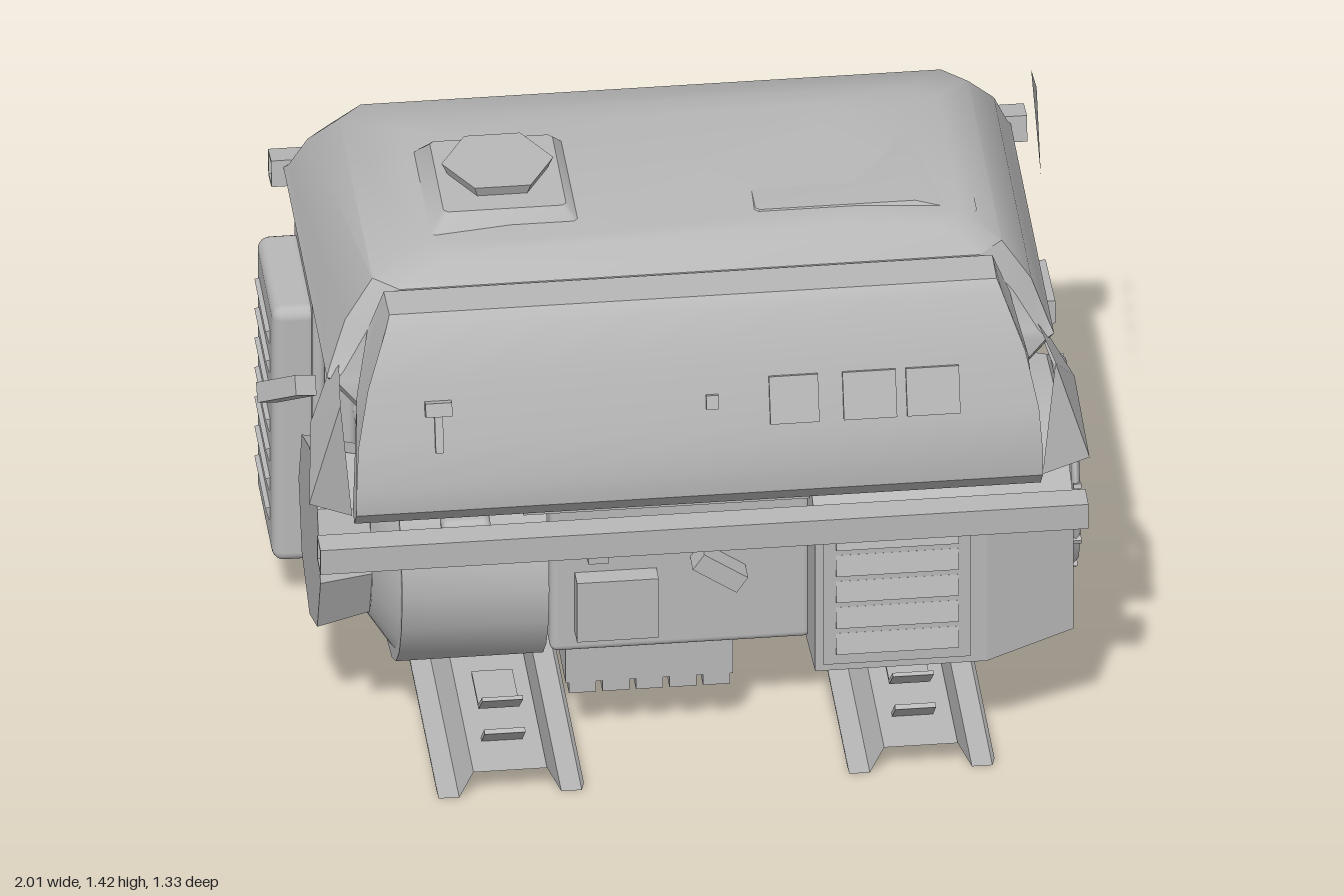
import * as THREE from 'three';
import { toCreasedNormals } from 'three/addons/utils/BufferGeometryUtils.js';
import { RoundedBoxGeometry } from 'three/addons/geometries/RoundedBoxGeometry.js';

export function createModel() {
  const model = new THREE.Group();
  const metal = new THREE.MeshStandardMaterial({ color: 0xb8b8b8, side: THREE.DoubleSide });
  metal.name = 'grey metal';

  const add = (name, geo, pos = [0, 0, 0], rot = [0, 0, 0], parent = model) => {
    const mesh = new THREE.Mesh(geo, metal);
    mesh.name = name;
    mesh.position.set(...pos);
    mesh.rotation.set(...rot);
    parent.add(mesh);
    return mesh;
  };
  // Box given by its limits on each axis
  const block = (name, [x0, x1], [y0, y1], [z0, z1], radius = 0) => add(name,
    radius ? new RoundedBoxGeometry(x1 - x0, y1 - y0, z1 - z0, 3, radius)
      : new THREE.BoxGeometry(x1 - x0, y1 - y0, z1 - z0),
    [(x0 + x1) / 2, (y0 + y1) / 2, (z0 + z1) / 2]);
  const outline = pts => pts.map(([z, y]) => new THREE.Vector2(-z, y));
  // Prism along x from a side profile of [z, y] points
  const prism = (pts, x0, x1, hole) => {
    const shape = new THREE.Shape(outline(pts));
    if (hole) shape.holes.push(new THREE.Path(outline(hole)));
    return new THREE.ExtrudeGeometry(shape, { depth: x1 - x0, bevelEnabled: false })
      .rotateY(Math.PI / 2).translate(x0, 0, 0);
  };
  const reshape = (geo, rule) => {
    const p = geo.attributes.position;
    for (let i = 0; i < p.count; i++) p.setXYZ(i, ...rule(p.getX(i), p.getY(i), p.getZ(i)));
    return toCreasedNormals(geo, 0.6);
  };
  // Stacked rings, counter-clockwise from above, closed at both ends
  const loft = rings => {
    const n = rings[0].length, index = [], geo = new THREE.BufferGeometry();
    geo.setAttribute('position', new THREE.Float32BufferAttribute(rings.flat(2), 3));
    for (let r = 0; r < rings.length - 1; r++) for (let j = 0; j < n; j++) {
      const a = r * n + j, b = r * n + (j + 1) % n;
      index.push(a, b, b + n, a, b + n, a + n);
    }
    const top = (rings.length - 1) * n;
    for (let j = 1; j < n - 1; j++) index.push(top, top + j, top + j + 1, 0, j + 1, j);
    geo.setIndex(index);
    return toCreasedNormals(geo, 0.6);
  };
  // Rectangle ring with cut corners; front height may differ from back height
  const ring = (yBack, yFront, x0, x1, z0, z1, c) => [
    [x0 + c, z1], [x1 - c, z1], [x1, z1 - c], [x1, z0 + c],
    [x1 - c, z0], [x0 + c, z0], [x0, z0 + c], [x0, z1 - c],
  ].map(([x, z]) => [x, yBack + (yFront - yBack) * (z - z0) / (z1 - z0), z]);
  const facets = (verts, index) => {
    const geo = new THREE.BufferGeometry();
    geo.setAttribute('position', new THREE.Float32BufferAttribute(verts.flat(), 3));
    geo.setIndex(index);
    return toCreasedNormals(geo, 0.1);
  };
  // Open sheet swept along z from [x, y] points
  const sheet = (points, z0, z1) => facets(
    points.flatMap(([x, y]) => [[x, y, z0], [x, y, z1]]),
    points.slice(1).flatMap((_, i) => [2 * i, 2 * i + 2, 2 * i + 1, 2 * i + 2, 2 * i + 3, 2 * i + 1]));

  // Fuel tank with sloping underside, filler plateau and cap
  add('fuelTank', loft([
    ring(1.07, 0.92, -0.76, 0.8, -0.6, 0.36, 0.02),
    ring(1.07, 1.07, -0.87, 0.91, -0.61, 0.38, 0.02),
    ring(1.09, 1.09, -0.86, 0.9, -0.6, 0.37, 0.03),
    ring(1.2, 1.2, -0.82, 0.86, -0.56, 0.36, 0.05),
    ring(1.29, 1.3, -0.75, 0.79, -0.51, 0.345, 0.06),
    ring(1.345, 1.345, -0.62, 0.7, -0.36, 0.27, 0.06),
    ring(1.36, 1.358, -0.4, 0.45, -0.28, 0.24, 0.06),
  ]));
  add('tankTopPanel', loft([
    ring(1.3, 1.33, 0.17, 0.74, -0.39, 0.2, 0.01), ring(1.345, 1.362, 0.2, 0.6, -0.33, 0.18, 0.01)]));
  add('fillerPlateau', loft([
    ring(1.34, 1.34, -0.6, -0.22, -0.21, 0.19, 0.01), ring(1.39, 1.39, -0.56, -0.26, -0.17, 0.15, 0.01)]));
  add('fillerCap', toCreasedNormals(new THREE.CylinderGeometry(0.137, 0.12, 0.035, 6), 0.1), [-0.41, 1.403, -0.02], [0, Math.PI / 6, 0]);

  // Sloping control panel, narrower at its top
  add('controlPanel', reshape(prism([
    [0.35, 1.3], [0.46, 1.303], [0.485, 1.28], [0.54, 1.14], [0.585, 1.0], [0.61, 0.89], [0.605, 0.82],
    [0.56, 0.77], [0.53, 0.79], [0.45, 1.07], [0.36, 1.2]], -1, 1),
  (x, y, z) => [0.015 + x * (0.84 - 0.1 * Math.max(0, (y - 0.89) / 0.42) ** 2), y, z]));
  const panelTilt = -0.32;
  for (const [x, w] of [[0.25, 0.12], [0.435, 0.13], [0.59, 0.13]])
    add('socketCover', new THREE.BoxGeometry(w, 0.12, 0.02), [x, 1.06, 0.567], [panelTilt, 0, 0]);
  add('keySwitch', new THREE.BoxGeometry(0.065, 0.035, 0.04), [-0.62, 1.09, 0.562], [panelTilt, 0, 0]);
  add('keyStem', new THREE.BoxGeometry(0.02, 0.12, 0.02), [-0.62, 1.04, 0.575], [panelTilt, 0, 0]);
  add('indicator', new THREE.BoxGeometry(0.03, 0.035, 0.02), [0.05, 1.065, 0.567], [panelTilt, 0, 0]);

  // Hollow square frame tubes, the rear one slightly rolled
  const square = (z, y, h, roll = 0) => [0, 1, 2, 3].map(i => {
    const a = Math.PI * (0.25 + i / 2) + roll;
    return [z + h * Math.SQRT2 * Math.cos(a), y + h * Math.SQRT2 * Math.sin(a)];
  });
  add('frontTube', prism(square(0.632, 0.732, 0.035), -0.92, 0.96, square(0.632, 0.732, 0.028)));
  add('rearTube', prism(square(-0.622, 1.05, 0.035, 0.13), -0.9, 0.95, square(-0.622, 1.05, 0.028, 0.13)));

  // Folded corner gussets beside the panel
  for (const s of [1, -1]) {
    const v = [[0.86, 1.09, 0.25], [0.97, 0.86, 0.6], [0.89, 1.12, 0.57], [0.86, 0.79, 0.555], [0.95, 1.0, 0.45]]
      .map(([x, y, z]) => [s * x + (s < 0 ? 0.03 : 0), y, z]);
    add('cornerGusset', facets(v, [0, 2, 4, 4, 2, 1, 0, 4, 1, 2, 3, 1]));
  }
  add('sideFlap', facets([[0.92, 1.283, -0.02], [0.95, 1.28, -0.5], [0.97, 1.19, -0.56]], [0, 1, 2]));
  add('fuelValve', new THREE.BoxGeometry(0.06, 0.05, 0.17), [-0.94, 0.875, 0.1], [-0.65, 0.5, 0]);

  // Fan housing on the left end, narrowing outwards
  const fanProfile = [[0.585, 0.71], [0.4, 0.79], [0.24, 0.82], [-0.06, 0.79], [-0.19, 0.6],
    [-0.18, 0.5], [-0.07, 0.26], [0.24, 0.235], [0.585, 0.28]];
  add('fanHousing', prism(fanProfile, 0.3, 0.72));
  add('fanHousingEnd', reshape(prism(fanProfile, 0.72, 0.94), (x, y, z) => {
    const k = x > 0.8 ? 0.86 : 1;
    return [x, 0.54 + (y - 0.54) * k, 0.12 + (z - 0.12) * k];
  }));
  const fan = new THREE.Group();
  fan.name = 'fanGrille';
  fan.position.set(0.95, 0.55, 0.125);
  model.add(fan);
  add('grilleDisc', toCreasedNormals(new THREE.CylinderGeometry(0.25, 0.27, 0.03, 10), 0.1), [0, 0, 0], [0, 0, -Math.PI / 2], fan);
  for (const r of [0.255, 0.205])
    add('grilleRing', new THREE.TorusGeometry(r, 0.012, 4, 10), [0.012, 0, 0], [0, Math.PI / 2, 0], fan);
  for (let i = 0; i < 10; i++) {
    const a = i * Math.PI / 5;
    add('grilleSpoke', new THREE.BoxGeometry(0.02, 0.06, 0.012),
      [0.016, 0.23 * Math.cos(a), 0.23 * Math.sin(a)], [a, 0, 0], fan);
  }
  for (let i = -4; i <= 4; i++) {
    const half = Math.sqrt(0.19 ** 2 - (i * 0.04) ** 2);
    add('grilleBar', new THREE.BoxGeometry(0.02, 0.022, 0.11), [0.018, i * 0.04, 0], [0, 0, 0], fan);
    if (half > 0.09) for (const s of [-1, 1]) add('grilleBar', new THREE.BoxGeometry(0.02, 0.022, half - 0.07),
      [0.018, i * 0.04, s * (half + 0.07) / 2], [0, 0, 0], fan);
  }

  // Louvred front cover
  block('louvreFrame', [0.32, 0.68], [0.3, 0.7], [0.55, 0.59]);
  for (let i = 0; i < 5; i++)
    add('louvre', new THREE.BoxGeometry(0.3, 0.055, 0.015), [0.5, 0.36 + i * 0.075, 0.59], [-0.25, 0, 0]);

  // Crankcase, control box and top cover
  block('crankcase', [-0.33, 0.31], [0.27, 0.72], [-0.18, 0.42], 0.02);
  add('engineTopCover', prism([[0.46, 0.7], [0.46, 0.78], [0.38, 0.86], [-0.18, 0.86], [-0.18, 0.7]], -0.4, 0.4));
  block('controlBox', [-0.27, -0.07], [0.33, 0.5], [0.4, 0.47]);
  block('smallSwitch', [-0.24, -0.19], [0.54, 0.6], [0.41, 0.45]);
  add('throttleLever', new THREE.BoxGeometry(0.13, 0.05, 0.06), [0.08, 0.51, 0.45], [0, 0, -0.6]);

  // Alternator on the right end
  const drum = (name, x0, x1, r0, r1, sides) => add(name,
    toCreasedNormals(new THREE.CylinderGeometry(r1, r0, x1 - x0, sides), 0.6).rotateZ(-Math.PI / 2),
    [(x0 + x1) / 2, 0.5, 0.16]);
  drum('alternator', -0.7, -0.34, 0.33, 0.33, 20);
  drum('alternatorNeck', -0.76, -0.7, 0.21, 0.3, 20);
  drum('alternatorEnd', -0.89, -0.76, 0.24, 0.21, 8);
  block('alternatorSwitch', [-0.6, -0.48], [0.62, 0.7], [0.36, 0.48], 0.02);

  // Finned cylinder leaning to the rear
  const cylinder = new THREE.Group();
  cylinder.name = 'engineCylinder';
  cylinder.position.set(-0.06, 0.58, -0.18);
  cylinder.rotation.x = -1.2;
  model.add(cylinder);
  add('barrel', new THREE.CylinderGeometry(0.13, 0.13, 0.3, 16), [0, 0.1, 0], [0, 0, 0], cylinder);
  for (let i = 0; i < 6; i++)
    add('coolingFin', new THREE.BoxGeometry(0.36, 0.016, 0.34), [0, 0.04 + i * 0.036, 0], [0, 0, 0], cylinder);
  add('cylinderHead', new RoundedBoxGeometry(0.36, 0.05, 0.36, 2, 0.02), [0, 0.265, 0], [0, 0, 0], cylinder);
  add('rockerCover', new RoundedBoxGeometry(0.28, 0.16, 0.27, 3, 0.07), [0, 0.31, 0], [0, 0, 0], cylinder);
  for (const x of [-0.15, 0.15]) for (const z of [-0.15, 0.15])
    add('headBolt', new THREE.CylinderGeometry(0.018, 0.018, 0.04, 6), [x, 0.3, z], [0, 0, 0], cylinder);
  add('intakeFunnel', new THREE.CylinderGeometry(0.06, 0.13, 0.32, 12), [-0.58, 0.6, -0.36], [0, 0, -Math.PI / 2 + 0.1]);
  block('carburettor', [-0.48, -0.28], [0.5, 0.72], [-0.44, -0.2], 0.03);
  add('topBracket', new THREE.BoxGeometry(0.2, 0.05, 0.24), [0.2, 0.86, -0.33], [0.5, 0, 0]);

  // Muffler with seam, shield and outlet
  block('muffler', [0.31, 0.87], [0.13, 0.79], [-0.54, -0.2], 0.03);
  block('mufflerSeam', [0.3, 0.88], [0.12, 0.8], [-0.395, -0.38], 0.007);
  block('mufflerShield', [0.34, 0.84], [0.17, 0.76], [-0.565, -0.52], 0.015);
  add('exhaustOutlet', reshape(prism([[-0.42, 0.595], [-0.63, 0.615], [-0.63, 0.645], [-0.42, 0.66]], 0.85, 1),
    (x, y, z) => [x < 0.9 && z < -0.5 ? 0.94 : x, y, z]));

  // Air filter box on the right end, louvred outside
  block('airFilterBase', [-0.82, -0.73], [0.14, 0.9], [-0.61, -0.23], 0.02);
  block('airFilterRim', [-0.84, -0.81], [0.125, 0.92], [-0.635, -0.215], 0.014);
  block('airFilterCover', [-0.935, -0.82], [0.15, 0.88], [-0.6, -0.24], 0.03);
  for (let i = 0; i < 7; i++)
    add('filterSlat', new THREE.BoxGeometry(0.015, 0.035, 0.24), [-0.935, 0.26 + i * 0.085, -0.42], [0, 0, 0.25]);
  for (const y of [0.3, 0.55, 0.8]) block('filterClip', [-0.85, -0.8], [y - 0.02, y + 0.02], [-0.642, -0.6]);

  // Ribbed sump under the crankcase
  block('sump', [-0.29, 0.12], [0.17, 0.28], [-0.13, 0.4]);
  for (let i = 0; i < 5; i++) {
    const x = -0.249 + i * 0.082;
    block('sumpRib', [x - 0.033, x + 0.033], [0.14, 0.17], [-0.13, 0.4]);
  }

  // Hat-section skid rails and their folded feet
  for (const x of [-0.45, 0.555]) {
    add('skidRail', sheet([[-0.18, 0.02], [-0.175, 0], [-0.125, 0], [-0.09, 0.07], [0.09, 0.07], [0.125, 0], [0.175, 0], [0.18, 0.02]]
      .map(([dx, y]) => [x + dx, y]), -0.64, 0.62));
    for (const s of [1, -1]) for (const path of [
      [[0.31, 0.2], [0.23, 0.13], [0.08, 0.13], [0.08, 0.12], [0.235, 0.12], [0.32, 0.195]],
      [[0.36, 0.14], [0.285, 0.07], [0.295, 0.062], [0.37, 0.132]]])
      add('mountingFoot', prism(path.map(([z, y]) => [0.18 + s * z, y]), x - 0.055, x + 0.045));
  }
  return model;
}
